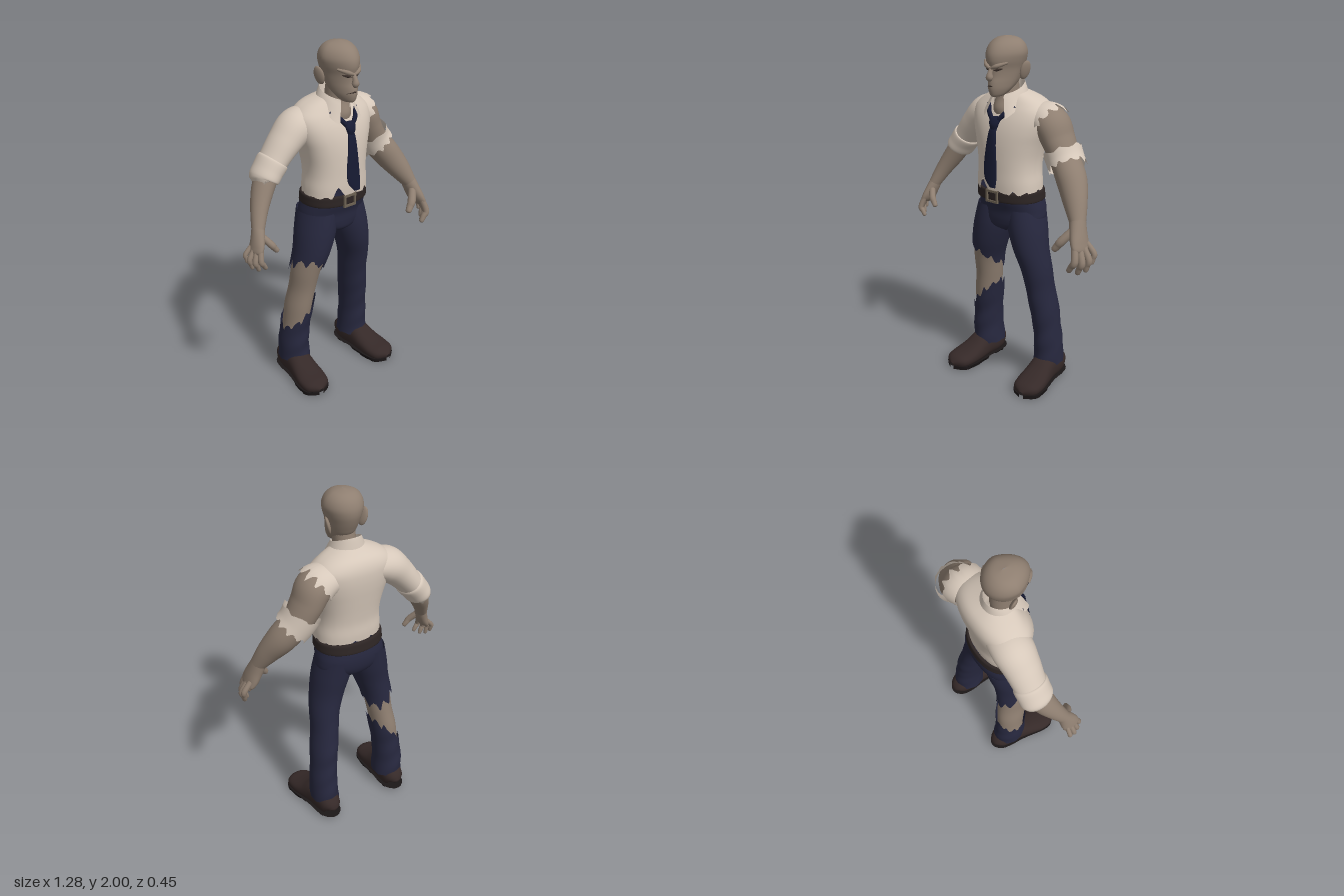
import * as THREE from 'three';
import { mergeVertices } from 'three/addons/utils/BufferGeometryUtils.js';

const V = (x, y, z) => new THREE.Vector3(x, y, z);
const mat = (name, color, side = THREE.FrontSide) => {
  const m = new THREE.MeshStandardMaterial({ color, side });
  m.name = name;
  return m;
};

// Catmull-Rom blend of whole section rows [x, y, z, r1, r2]
function sample(rows, v) {
  const n = rows.length - 1, f = Math.min(Math.max(v, 0), 1) * n;
  const i = Math.min(Math.floor(f), n - 1), t = f - i;
  const [a, b, c, d] = [-1, 0, 1, 2].map(k => rows[Math.min(Math.max(i + k, 0), n)]);
  return b.map((_, k) => 0.5 * (2 * b[k] + (c[k] - a[k]) * t + (2 * a[k] - 5 * b[k] + 4 * c[k] - d[k]) * t * t
    + (3 * b[k] - a[k] - 3 * c[k] + d[k]) * t * t * t));
}

// Skin of rounded sections along a path; start/end may vary with the angle for torn edges
function loft(rows, { nu = 32, nv = 24, flat = false, ref = V(0, 0, 1), sq = 1, arc = [0, Math.PI * 2],
  start = () => 0, end = () => 1, warp = null, grow = 0 } = {}) {
  const pos = [], idx = [];
  const pw = c => Math.sign(c) * Math.pow(Math.abs(c), sq);
  for (let i = 0; i <= nv; i++) for (let j = 0; j <= nu; j++) {
    const closed = Math.abs(arc[1] - arc[0] - Math.PI * 2) < 1e-6 && j === nu;
    const th = closed ? arc[0] : arc[0] + (arc[1] - arc[0]) * j / nu;
    const v = THREE.MathUtils.lerp(start(th), end(th), i / nv);
    const s = sample(rows, v);
    let side = V(1, 0, 0), other = V(0, 0, 1);
    if (!flat) {
      const p = sample(rows, v + 0.01), q = sample(rows, v - 0.01);
      const t = V(p[0] - q[0], p[1] - q[1], p[2] - q[2]).normalize();
      side = t.clone().cross(ref).normalize();
      other = side.clone().cross(t);
    }
    const pt = V(s[0], s[1], s[2])
      .addScaledVector(side, pw(Math.cos(th)) * Math.max(s[3] + grow, 0.001))
      .addScaledVector(other, pw(Math.sin(th)) * Math.max(s[4] + grow, 0.001));
    if (warp) warp(pt, th, v);
    pos.push(pt.x, pt.y, pt.z);
    if (i < nv && j < nu) {
      const a = i * (nu + 1) + j, b = a + nu + 1;
      idx.push(a, b, a + 1, b, b + 1, a + 1);
    }
  }
  let g = new THREE.BufferGeometry();
  g.setAttribute('position', new THREE.Float32BufferAttribute(pos, 3));
  g.setIndex(idx);
  g = mergeVertices(g, 1e-5);
  g.computeVertexNormals();
  return g;
}

// Ragged saw wave around a ring, -1..1
const saw = x => Math.abs(((x % 1) + 1) % 1 - 0.5) * 4 - 1;
const jag = (th, k = 9) => {
  const u = th / (Math.PI * 2);
  return 0.6 * saw(u * k) + 0.4 * saw(u * (2 * k - 5) + 0.3) * Math.cos(th * 3);
};

export function createModel() {
  const model = new THREE.Group();
  const skin = mat('skin', 0x8f7f71), shirt = mat('shirt', 0xd6c8ba, THREE.DoubleSide);
  const pants = mat('trousers', 0x27283f, THREE.DoubleSide), tieM = mat('tie', 0x171b33);
  const leather = mat('shoeLeather', 0x352928), sole = mat('sole', 0x1c1718);
  const beltM = mat('belt', 0x2d2524), metal = mat('buckle', 0x6d6253), dark = mat('faceShadow', 0x3b302b);
  const add = (name, g, m, parent = model) => {
    const o = new THREE.Mesh(g, m);
    o.name = name;
    parent.add(o);
    return o;
  };

  // Head: rows of y, back z, front z, half width
  const head = new THREE.Group();
  head.name = 'head';
  model.add(head);
  const skull = [[1.69, 0.09, 0.135, 0.005], [1.697, 0.06, 0.148, 0.035], [1.73, 0.0, 0.158, 0.06],
    [1.765, -0.045, 0.157, 0.074], [1.80, -0.065, 0.15, 0.083], [1.84, -0.082, 0.15, 0.092],
    [1.88, -0.093, 0.158, 0.104], [1.92, -0.092, 0.152, 0.11], [1.96, -0.074, 0.125, 0.095],
    [1.988, -0.04, 0.08, 0.06], [2, 0.01, 0.03, 0.001]];
  add('skull', loft(skull.map(([y, b, f, w]) => [0.003, y, (b + f) / 2, w, (f - b) / 2]), {
    flat: true, nu: 40, nv: 40, warp: (p, th) => { p.x *= 1 - 0.22 * Math.max(0, Math.sin(th)); } }), skin, head);
  add('neck', loft([[0, 1.56, 0.02, 0.07, 0.07], [0, 1.62, 0.025, 0.068, 0.075], [0, 1.69, 0.01, 0.062, 0.068],
    [0, 1.78, 0.02, 0.06, 0.065]], { flat: true }), skin, head);
  add('nose', loft([[0, 1.85, 0.143, 0.012, 0.008], [0, 1.82, 0.158, 0.013, 0.014], [0, 1.795, 0.163, 0.02, 0.02],
    [0, 1.782, 0.158, 0.012, 0.01], [0, 1.78, 0.15, 0.001, 0.001]], { nu: 16, nv: 14 }), skin, head);
  add('mouth', loft([[-0.035, 1.742, 0.134, 0.001, 0.004], [0, 1.75, 0.158, 0.004, 0.004],
    [0.035, 1.742, 0.134, 0.001, 0.004]], { nu: 8, nv: 10 }), dark, head);
  for (const s of [-1, 1]) {
    add('brow', loft([[s * 0.005, 1.843, 0.15, 0.008, 0.012], [s * 0.035, 1.856, 0.145, 0.012, 0.013],
      [s * 0.075, 1.872, 0.105, 0.006, 0.008]], { nu: 12, nv: 10 }), skin, head);
    add('eye', loft([[s * 0.014, 1.831, 0.147, 0.002, 0.004], [s * 0.034, 1.836, 0.139, 0.007, 0.005],
      [s * 0.056, 1.842, 0.123, 0.002, 0.004]], { nu: 10, nv: 10 }), dark, head);
    const ear = add('ear', new THREE.SphereGeometry(1, 16, 12), skin, head);
    ear.scale.set(0.013, 0.052, 0.03);
    ear.position.set(s * 0.106, 1.825, -0.002);
    ear.rotation.set(-0.15, s * -0.35, s * -0.28);
  }

  // Shirt body with ragged hem: rows of y, back z, front z, half width
  const body = [[1.15, -0.15, 0.135, 0.192], [1.21, -0.155, 0.138, 0.19], [1.28, -0.155, 0.138, 0.183],
    [1.35, -0.163, 0.138, 0.187], [1.43, -0.175, 0.135, 0.205], [1.50, -0.185, 0.126, 0.228], [1.56, -0.19, 0.11, 0.242],
    [1.61, -0.188, 0.088, 0.238], [1.65, -0.175, 0.066, 0.2], [1.68, -0.15, 0.05, 0.15], [1.71, -0.1, 0.035, 0.075]];
  add('shirtBody', loft(body.map(([y, b, f, w]) => [0, y, (b + f) / 2, w, (f - b) / 2]), {
    flat: true, sq: 0.86, nu: 96, nv: 40,
    start: th => 0.035 + 0.03 * jag(th, 13) + 0.07 * Math.exp(-(((th - 1.95) / 0.18) ** 2)) }), shirt);

  // Open folded collar
  const collar = [[0, 1.66, 0.005, 0.075, 0.09], [0, 1.755, -0.005, 0.076, 0.085], [0, 1.757, -0.005, 0.082, 0.09],
    [0, 1.685, 0.0, 0.115, 0.11]];
  add('collar', loft(collar, { flat: true, nu: 48, nv: 18, arc: [Math.PI / 2 + 0.45, Math.PI * 2.5 - 0.45],
    warp: (p, th, v) => {
      const f = Math.max(0, Math.sin(th)) ** 3;
      p.y -= 0.035 * (Math.sin(th) + 1) + Math.max(0, v - 0.5) * f * 0.11;
      p.z += v * f * 0.035;
      p.x *= 1 + Math.max(0, v - 0.6) * f * 1.4;
    } }), shirt);

  // Tie
  add('tieBlade', loft([[0, 1.535, 0.125, 0.018, 0.008], [-0.002, 1.50, 0.141, 0.025, 0.009],
    [-0.004, 1.42, 0.152, 0.034, 0.008], [-0.005, 1.32, 0.157, 0.044, 0.008], [0, 1.25, 0.162, 0.042, 0.007],
    [0.018, 1.20, 0.168, 0.02, 0.004]].reverse(), { flat: true, nu: 20 }), tieM);
  add('tieKnot', loft([[0, 1.515, 0.133, 0.02, 0.012], [0, 1.545, 0.13, 0.03, 0.017], [0, 1.575, 0.115, 0.034, 0.015],
    [0, 1.582, 0.108, 0.003, 0.003]], { flat: true, nu: 16, nv: 12 }), tieM);
  for (const s of [-1, 1]) add('tieBand', loft([[s * 0.088, 1.635, 0.06, 0.012, 0.012],
    [s * 0.05, 1.598, 0.107, 0.014, 0.012], [s * 0.008, 1.55, 0.125, 0.012, 0.01]], { nu: 12, nv: 12 }), tieM);

  // Hips, belt and buckle
  add('hips', loft([[0, 0.915, -0.02, 0.02, 0.06], [0, 0.945, -0.025, 0.12, 0.11], [0, 0.99, -0.033, 0.2, 0.13],
    [0, 1.05, -0.036, 0.205, 0.138], [0, 1.11, -0.025, 0.195, 0.145], [0, 1.17, -0.015, 0.186, 0.14]],
    { flat: true, nu: 48, sq: 0.9 }), pants);
  add('belt', loft([[0, 1.108, -0.02, 0.19, 0.143], [0, 1.112, -0.02, 0.2, 0.155], [0, 1.14, -0.018, 0.2, 0.155],
    [0, 1.166, -0.016, 0.197, 0.152], [0, 1.17, -0.016, 0.18, 0.138]], { flat: true, nu: 48, sq: 0.9 }), beltM);
  const frame = new THREE.Shape([[-0.042, -0.035], [0.042, -0.035], [0.042, 0.035], [-0.042, 0.035]].map(p => new THREE.Vector2(...p)));
  frame.holes.push(new THREE.Path([[-0.03, -0.023], [-0.03, 0.023], [0.03, 0.023], [0.03, -0.023]].map(p => new THREE.Vector2(...p))));
  add('buckle', new THREE.ExtrudeGeometry(frame, { depth: 0.012, bevelEnabled: false }), metal).position.set(-0.01, 1.137, 0.132);

  // Legs: evenly spaced in height, so a height converts directly to a path position
  const leg = [[0.217, 0.10, -0.1, 0.084, 0.098], [0.22, 0.22, -0.096, 0.08, 0.094], [0.212, 0.34, -0.087, 0.077, 0.09],
    [0.2, 0.46, -0.075, 0.08, 0.096], [0.183, 0.58, -0.058, 0.079, 0.094], [0.17, 0.70, -0.038, 0.085, 0.1],
    [0.142, 0.82, -0.022, 0.097, 0.112], [0.115, 0.94, -0.025, 0.108, 0.123], [0.095, 1.06, -0.035, 0.1, 0.125]];
  const at = y => (y - 0.1) / 0.96;
  const toRight = rows => rows.map(([x, ...r]) => [-1.09 * x, ...r]);
  const hem = th => at(0.108 + 0.01 * jag(th));
  const fold = (p, th) => { p.z += 0.004 * Math.sin(p.y * 45 + th * 2) * Math.max(0, 1 - p.y / 0.7); };
  add('leftTrouserLeg', loft(leg, { flat: true, nu: 48, nv: 48, start: hem, warp: fold }), pants);
  add('rightTrouserThigh', loft(toRight(leg), { flat: true, nu: 72, nv: 24, grow: 0.006,
    start: th => at(0.71 - 0.05 * Math.cos(th) + 0.05 * Math.sin(th) + 0.04 * jag(th)) }), pants);
  add('rightTrouserShin', loft(toRight(leg), { flat: true, nu: 72, nv: 24, grow: 0.005, start: hem, warp: fold,
    end: th => at(0.435 + 0.1 * Math.cos(th) + 0.035 * jag(th, 11)) }), pants);
  add('rightBareLeg', loft(toRight(leg), { flat: true, nv: 32, grow: -0.006, start: () => at(0.28), end: () => at(0.88) }), skin);

  // Shoes, path running from heel to toe
  const shoe = [[0.22, 0.05, -0.205, 0.01, 0.02], [0.22, 0.065, -0.19, 0.055, 0.06], [0.222, 0.082, -0.13, 0.07, 0.08],
    [0.228, 0.082, -0.05, 0.072, 0.08], [0.235, 0.06, 0.03, 0.08, 0.06], [0.245, 0.045, 0.11, 0.086, 0.045],
    [0.252, 0.037, 0.175, 0.07, 0.036], [0.255, 0.03, 0.21, 0.01, 0.01]];
  for (const rows of [shoe, toRight(shoe)]) {
    const up = V(0, 1, 0);
    add('shoe', loft(rows, { ref: up, sq: 0.85, warp: p => { p.y = Math.max(p.y, 0.012); } }), leather);
    add('shoeSole', loft(rows, { ref: up, sq: 0.85, grow: 0.004,
      warp: p => { p.y = p.y > 0.03 ? 0.022 : (p.z > -0.08 && p.z < -0.02 ? 0.008 : 0); } }), sole);
  }

  // Left arm: heavy and bare, with torn shoulder edge and a loose torn cuff
  const leftArm = [[0.15, 1.575, -0.07, 0.07, 0.09], [0.232, 1.545, -0.07, 0.093, 0.11], [0.282, 1.46, -0.07, 0.083, 0.105],
    [0.335, 1.365, -0.06, 0.078, 0.09], [0.405, 1.27, -0.025, 0.08, 0.085], [0.465, 1.175, 0.025, 0.066, 0.065],
    [0.515, 1.085, 0.07, 0.042, 0.046]];
  add('leftArm', loft(leftArm, { nv: 40 }), skin);
  add('tornShoulder', loft(leftArm, { nu: 72, nv: 10, grow: 0.014, end: th => 0.15 + 0.035 * jag(th, 11) }), shirt);
  add('tornCuff', loft(leftArm, { nu: 72, nv: 14, grow: 0.022, start: th => 0.42 + 0.02 * jag(th, 7),
    end: th => 0.56 + 0.03 * jag(th, 11) }), shirt);

  // Right arm: long sleeve rolled to the elbow
  add('rightSleeve', loft([[-0.11, 1.575, -0.075, 0.08, 0.1], [-0.205, 1.552, -0.075, 0.098, 0.112],
    [-0.285, 1.485, -0.075, 0.086, 0.102], [-0.355, 1.405, -0.077, 0.074, 0.092], [-0.415, 1.33, -0.075, 0.066, 0.086]]), shirt);
  add('rolledCuff', loft([[-0.36, 1.40, -0.077, 0.07, 0.088], [-0.368, 1.39, -0.077, 0.08, 0.098],
    [-0.40, 1.35, -0.076, 0.077, 0.097], [-0.43, 1.31, -0.074, 0.073, 0.094], [-0.432, 1.305, -0.073, 0.055, 0.07]]), shirt);
  add('rightForearm', loft([[-0.39, 1.365, -0.075, 0.06, 0.07], [-0.455, 1.265, -0.05, 0.057, 0.066],
    [-0.51, 1.17, -0.01, 0.045, 0.05], [-0.55, 1.085, 0.03, 0.033, 0.037]]), skin);

  // Hands: offsets from the wrist, mirrored and scaled
  const hand = (name, s, k, w) => {
    const g = new THREE.Group();
    g.name = name;
    model.add(g);
    const put = rows => rows.map(([x, y, z, a, b]) => [w[0] + s * k * x, w[1] + k * y, w[2] + k * z, k * a, k * b]);
    add('palm', loft(put([[-0.008, 0.02, -0.01, 0.042, 0.045], [0.012, -0.04, 0.012, 0.04, 0.056],
      [0.036, -0.1, 0.03, 0.034, 0.066], [0.056, -0.135, 0.04, 0.022, 0.058], [0.06, -0.145, 0.042, 0.002, 0.01]]), { nu: 24 }), skin, g);
    const finger = (label, a, b, c, r) => add(label, loft(put([[...a, r, r], [...b, r * 1.05, r * 1.05],
      [...b.map((q, i) => (q + c[i]) / 2), r * 0.92, r * 0.92], [...c, r * 0.7, r * 0.7],
      [...c.map((q, i) => q + (q - b[i]) * 0.1), 0.001, 0.001]]), { nu: 12, nv: 16 }), skin, g);
    finger('indexFinger', [0.035, -0.1, 0.075], [0.055, -0.175, 0.1], [0.018, -0.235, 0.1], 0.019);
    finger('middleFinger', [0.045, -0.11, 0.05], [0.078, -0.185, 0.068], [0.052, -0.25, 0.068], 0.019);
    finger('ringFinger', [0.052, -0.11, 0.025], [0.095, -0.175, 0.03], [0.08, -0.24, 0.035], 0.018);
    finger('littleFinger', [0.055, -0.1, -0.005], [0.1, -0.15, -0.01], [0.095, -0.205, 0.0], 0.016);
    finger('thumb', [0.0, -0.03, 0.03], [-0.045, -0.09, 0.075], [-0.085, -0.145, 0.09], 0.023);
  };
  hand('leftHand', 1, 1, [0.515, 1.085, 0.07]);
  hand('rightHand', -1, 0.8, [-0.55, 1.085, 0.03]);

  return model;
}
